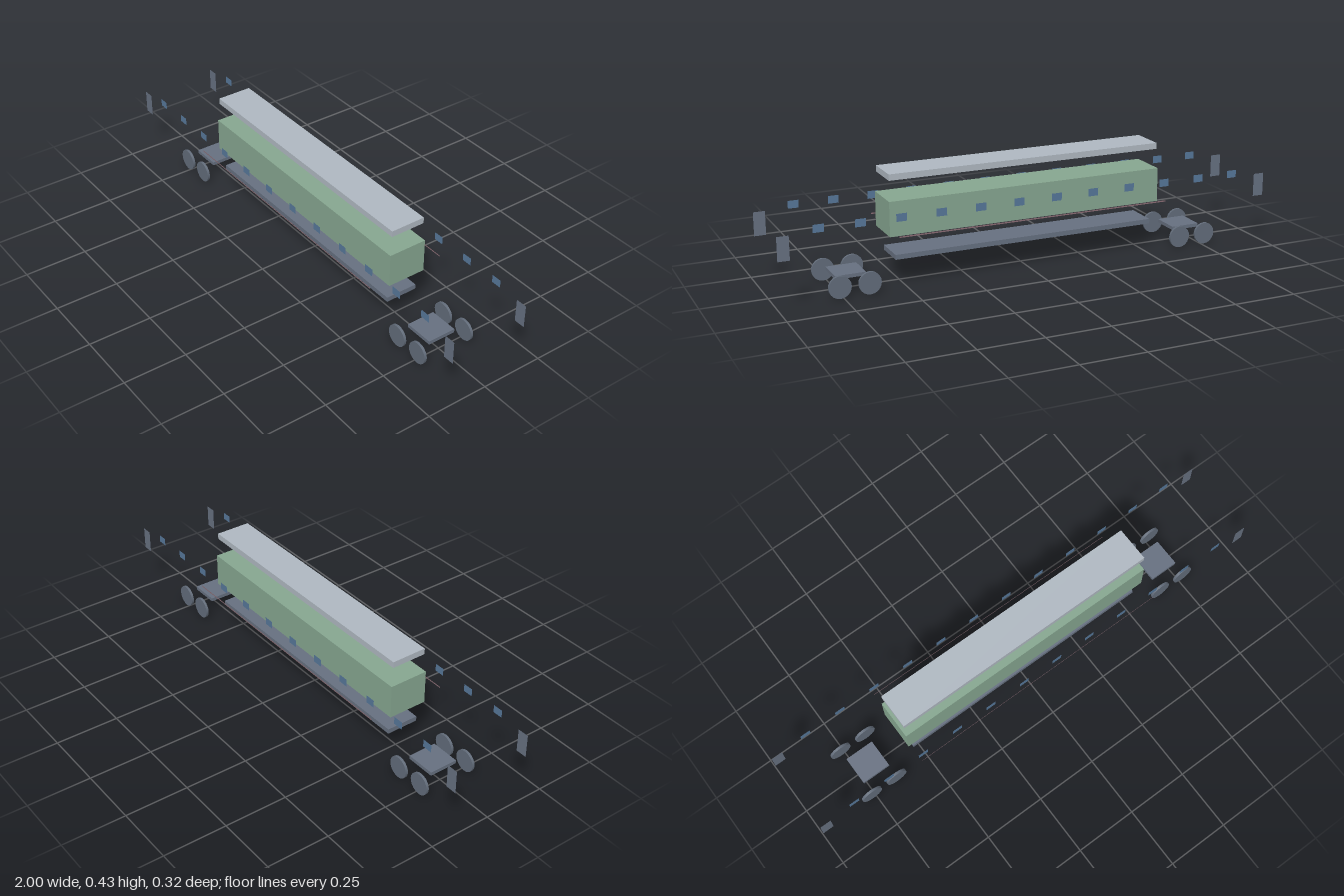
import * as THREE from 'three';

const paint = (name, color, side = THREE.FrontSide) => {
  const m = new THREE.MeshStandardMaterial({ color, side });
  m.name = name;
  return m;
};

export function createModel() {
  const green = paint('body green', 0x86a690);
  const silver = paint('roof grey', 0xafb8c1);
  const slate = paint('frame slate', 0x667080);
  const steel = paint('wheel slate', 0x626c7a);
  const doorGrey = paint('door slate', 0x667080, THREE.DoubleSide);
  const glass = paint('window blue', 0x567799, THREE.DoubleSide);
  const rose = paint('stripe rose', 0x8a6c74, THREE.DoubleSide);

  const model = new THREE.Group();
  model.name = 'explodedRailCoach';

  const add = (parent, name, geometry, material, x, y, z) => {
    const mesh = new THREE.Mesh(geometry, material);
    mesh.name = name;
    mesh.position.set(x, y, z);
    parent.add(mesh);
    return mesh;
  };
  const box = (w, h, d) => new THREE.BoxGeometry(w, h, d);

  // Stacked coach: floor frame, body, roof
  add(model, 'floorFrame', box(1.068, 0.019, 0.131), slate, 0, 0.111, 0);
  add(model, 'body', box(1.116, 0.134, 0.157), green, 0, 0.263, 0);
  add(model, 'roof', box(1.108, 0.024, 0.142), silver, 0, 0.419, 0);

  // Flat side details, pulled away from the body
  const windowShape = new THREE.PlaneGeometry(0.041, 0.03);
  const doorShape = new THREE.PlaneGeometry(0.045, 0.092);
  const stripeShape = new THREE.PlaneGeometry(1.1, 0.005);
  for (const side of [1, -1]) {
    const panels = new THREE.Group();
    panels.name = side > 0 ? 'frontPanels' : 'backPanels';
    panels.position.z = side * 0.16;
    if (side < 0) panels.rotation.y = Math.PI;
    model.add(panels);
    for (let i = 0; i < 12; i++) {
      add(panels, 'window', windowShape, glass, (i - 5.5) * 0.1543, 0.293, 0);
    }
    for (const x of [-0.9775, 0.9775]) add(panels, 'door', doorShape, doorGrey, x, 0.235, 0);
    add(panels, 'stripe', stripeShape, rose, 0, 0.219, 0);
  }

  // Bogies: a plate with four wheels standing off it
  const wheelShape = new THREE.CylinderGeometry(0.0435, 0.0435, 0.01, 20).rotateX(Math.PI / 2);
  for (const end of [-1, 1]) {
    const bogie = new THREE.Group();
    bogie.name = end > 0 ? 'leftBogie' : 'rightBogie';
    bogie.position.x = end * 0.706;
    model.add(bogie);
    add(bogie, 'bogiePlate', box(0.118, 0.014, 0.116), slate, 0, 0.063, 0);
    for (const x of [-0.057, 0.057]) {
      for (const z of [-0.107, 0.107]) add(bogie, 'wheel', wheelShape, steel, x, 0.0435, z);
    }
  }
  return model;
}
